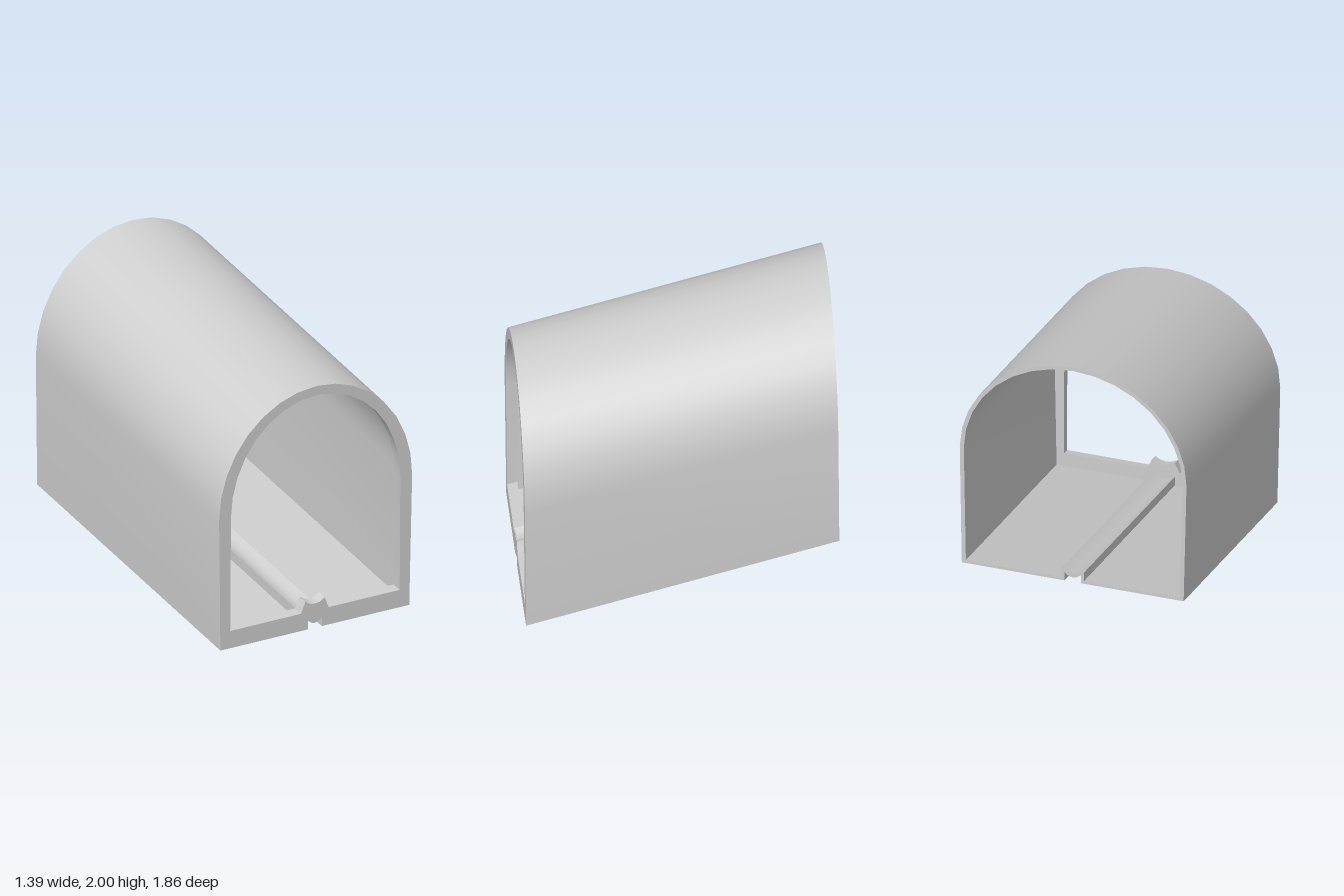
import * as THREE from 'three';
import { toCreasedNormals } from 'three/addons/utils/BufferGeometryUtils.js';

const ARCH_STEPS = 8;
const SPRING = 0.81; // height where the straight walls meet the arch

// Closed ring: base points from the centre outward, then an elliptical arch, mirrored
function section(base, rx, top) {
  const half = base.map(([x, y]) => new THREE.Vector2(x, y));
  for (let i = 0; i <= ARCH_STEPS; i++) {
    const a = (i / ARCH_STEPS) * Math.PI / 2;
    half.push(new THREE.Vector2(rx * Math.cos(a), SPRING + (top - SPRING) * Math.sin(a)));
  }
  const mirrored = half.slice(1, -1).reverse().map(p => new THREE.Vector2(-p.x, p.y));
  return half.concat(mirrored);
}

// Joins the rings in order, and the last one back to the first
function loft(rings) {
  const n = rings[0].points.length;
  const positions = [], index = [];
  rings.forEach(({ points, z }, r) => {
    const next = (r + 1) % rings.length;
    points.forEach((p, j) => {
      // the floor climbs towards the back, and the ends lean slightly
      positions.push(p.x, p.y + (0.92 - z) * 0.27, z + (p.y - 0.75) * 0.01);
      const k = (j + 1) % n;
      const a = r * n + j, b = r * n + k, c = next * n + k, d = next * n + j;
      index.push(a, b, c, a, c, d);
    });
  });
  const geometry = new THREE.BufferGeometry();
  geometry.setAttribute('position', new THREE.Float32BufferAttribute(positions, 3));
  geometry.setIndex(index);
  return toCreasedNormals(geometry, 0.45);
}

export function createModel() {
  const group = new THREE.Group();
  group.name = 'slopedTunnel';
  const grey = new THREE.MeshStandardMaterial({ color: 0xcccccc });

  // outside, with the groove under the floor
  const outer = section([[0, 0.03], [0.025, 0.036], [0.05, 0.055], [0.05, 0], [0.68, 0]], 0.695, 1.507);
  // thin-walled inside, with the hollow-topped rib along the floor
  const inner = section([[0, 0.058], [0.035, 0.064], [0.07, 0.08], [0.07, 0.02], [0.655, 0.02]], 0.67, 1.482);
  // thick front rim, with a raised cradle in the middle
  const rim = section([[0, 0.15], [0.035, 0.156], [0.07, 0.175], [0.1, 0.108], [0.61, 0.108]], 0.61, 1.45);

  const back = -0.92, front = 0.92, rimBack = 0.86;
  const shell = new THREE.Mesh(loft([
    { points: outer, z: back },
    { points: outer, z: front },
    { points: rim, z: front },
    { points: rim, z: rimBack },
    { points: inner, z: rimBack },
    { points: inner, z: back },
  ]), grey);
  shell.name = 'tunnelShell';
  group.add(shell);
  return group;
}
